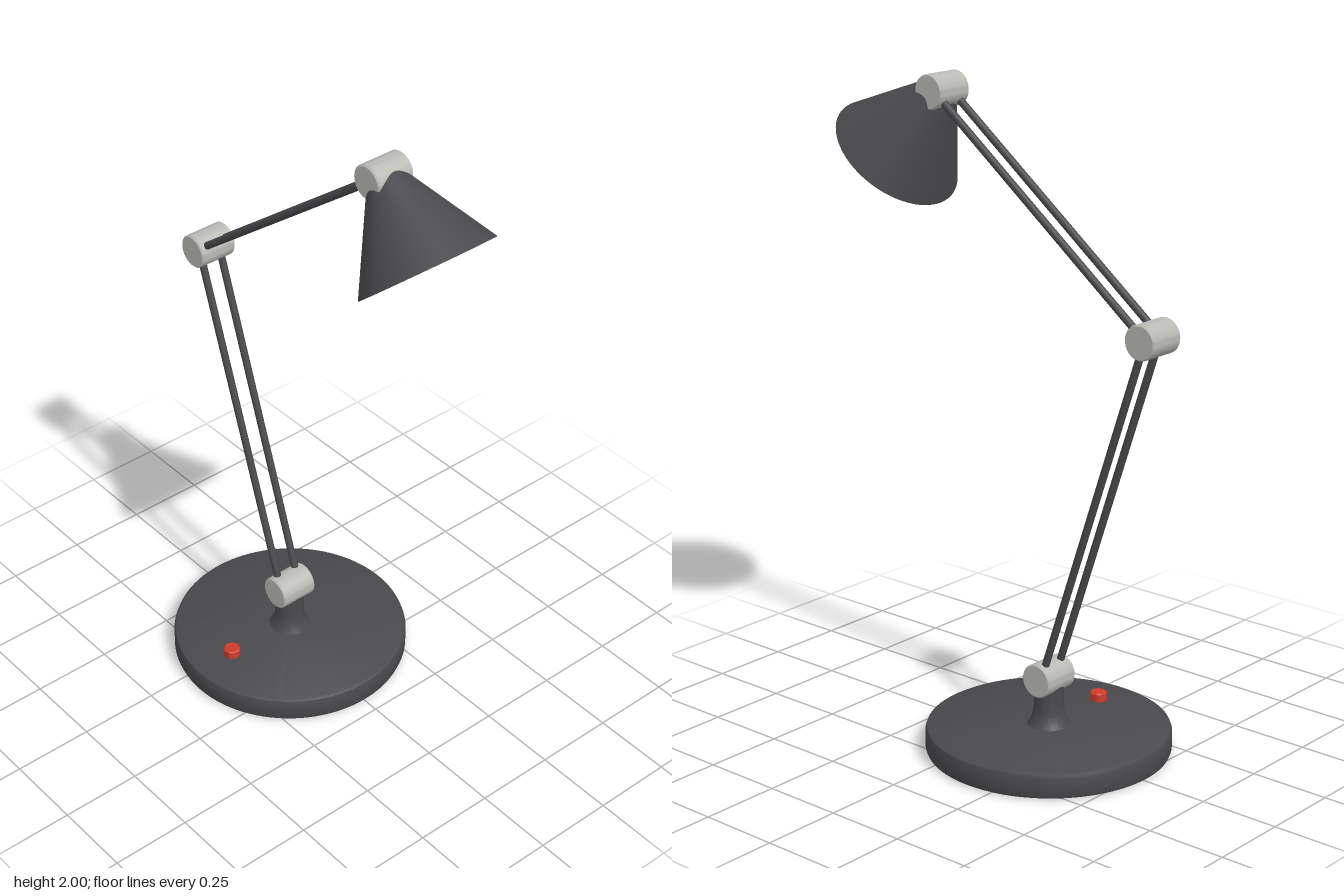
import * as THREE from 'three';
import { toCreasedNormals } from 'three/addons/utils/BufferGeometryUtils.js';

export function createModel() {
  const group = new THREE.Group();
  const material = (name, color) => {
    const m = new THREE.MeshStandardMaterial({ color });
    m.name = name;
    return m;
  };
  const dark = material('dark grey', 0x4a4a4e);
  const shadeDark = material('shade grey', 0x4a4a4e);
  shadeDark.side = THREE.DoubleSide;
  const silver = material('light grey', 0xb9bab4);
  const bulbWhite = material('bulb white', 0xd8d8d4);
  const red = material('red', 0xcc3b2b);

  const add = (name, geometry, mat, x, y, z = 0) => {
    const mesh = new THREE.Mesh(geometry, mat);
    mesh.name = name;
    mesh.position.set(x, y, z);
    group.add(mesh);
    return mesh;
  };
  // Profile points run from bottom to top as [radius, height]
  const lathe = (points, segments = 64, crease = 0.6) => toCreasedNormals(
    new THREE.LatheGeometry(points.map(([r, h]) => new THREE.Vector2(r, h)), segments), crease);

  // Pivot points of the arm
  const foot = new THREE.Vector3(-0.17, 0.232, 0);
  const elbow = new THREE.Vector3(-0.538, 1.336, 0);
  const head = new THREE.Vector3(0.245, 1.948, 0);

  // Round base with softened edges
  add('base', lathe([[0, 0], [0.36, 0], [0.367, 0.004], [0.371, 0.014], [0.371, 0.064],
    [0.367, 0.075], [0.358, 0.08], [0, 0.08]], 96), dark, foot.x, 0);

  // Flared stem
  add('stem', lathe([[0.066, 0.078], [0.06, 0.088], [0.053, 0.101], [0.048, 0.118],
    [0.045, 0.14], [0.045, 0.215], [0, 0.215]]), dark, foot.x, 0);

  // Power button
  add('button', lathe([[0.026, 0], [0.026, 0.023], [0.022, 0.027], [0, 0.027]], 32),
    red, foot.x, 0.08, 0.237);

  // Barrel joints lying along z
  const barrel = lathe([[0, -0.062], [0.048, -0.062], [0.052, -0.058], [0.052, 0.058],
    [0.048, 0.062], [0, 0.062]], 48);
  barrel.rotateX(Math.PI / 2);
  for (const [name, p] of [['footJoint', foot], ['elbowJoint', elbow], ['headJoint', head]]) {
    add(name, barrel, silver, p.x, p.y);
  }

  // Paired rods between the joints
  const up = new THREE.Vector3(0, 1, 0);
  const rods = (name, a, b) => {
    const span = b.clone().sub(a);
    const geometry = new THREE.CylinderGeometry(0.0115, 0.0115, span.length(), 20);
    for (const z of [-0.035, 0.035]) {
      const mid = a.clone().add(b).multiplyScalar(0.5);
      add(name, geometry, dark, mid.x, mid.y, z)
        .quaternion.setFromUnitVectors(up, span.clone().normalize());
    }
  };
  rods('lowerRod', foot, elbow);
  rods('upperRod', elbow, head);

  // Tilted lamp head, its axis running down from the head joint
  const tilt = 0.725;
  const shade = new THREE.CylinderGeometry(0.05, 0.205, 0.274, 64, 1, true);
  shade.translate(0, -0.137, 0);
  add('shade', shade, shadeDark, head.x, head.y).rotation.z = tilt;

  // Small tapered bulb
  add('bulb', lathe([[0, -0.14], [0.01, -0.136], [0.02, -0.122], [0.026, -0.105],
    [0.026, -0.09], [0.02, -0.07], [0.018, -0.03]], 32, 1),
    bulbWhite, head.x, head.y).rotation.z = tilt;

  return group;
}
